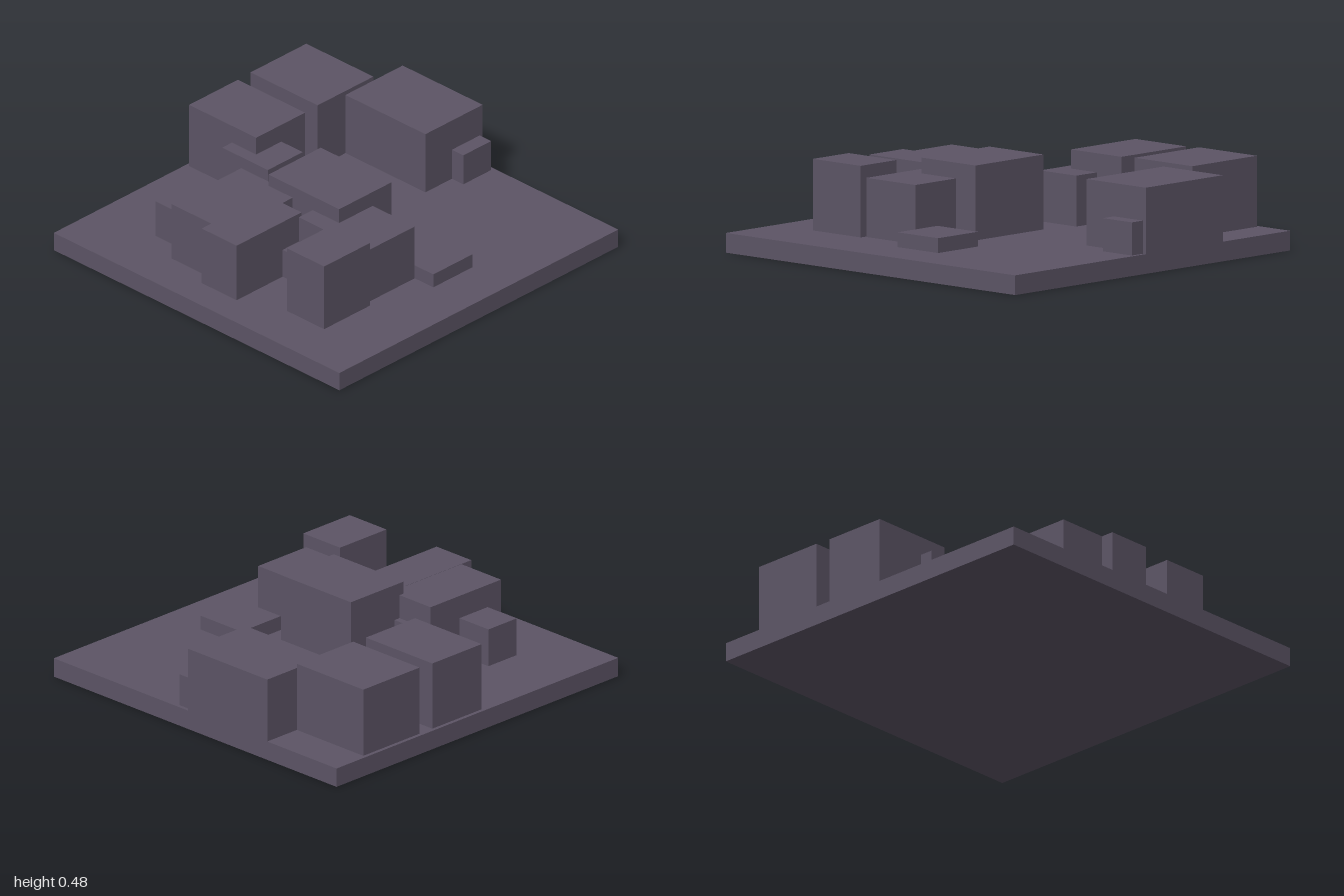
import * as THREE from 'three';

export function createModel() {
  const model = new THREE.Group();
  model.name = 'blockTerrain';
  const slate = new THREE.MeshStandardMaterial({ color: 0x5c5465 });
  slate.name = 'slate';

  // Box given by its extents on x and z, and its bottom and top heights
  function block(name, x0, x1, z0, z1, top, bottom = 0.1) {
    const mesh = new THREE.Mesh(new THREE.BoxGeometry(x1 - x0, top - bottom, z1 - z0), slate);
    mesh.position.set((x0 + x1) / 2, (top + bottom) / 2, (z0 + z1) / 2);
    mesh.name = name;
    model.add(mesh);
  }

  // Square ground slab
  block('base', -1, 1, -1, 1, 0.1, 0);

  // Back cluster
  block('backLeftBlock', -0.98, -0.51, -0.79, -0.39, 0.46);
  block('backBlock', -0.51, 0.05, -1, -0.59, 0.437);
  block('backSmallBlock', -0.08, 0.13, -0.98, -0.78, 0.268);

  // Left cluster
  block('leftTallBlock', -0.98, -0.51, -0.3, 0.05, 0.455);
  block('leftLowBlock', -0.68, -0.36, -0.13, 0.12, 0.358);

  // Centre cluster
  block('centreBlock', -0.18, 0.315, -0.075, 0.3, 0.48);
  block('centreLowBlock', -0.195, 0.24, 0.11, 0.51, 0.255);
  block('centreFillBlock', -0.3, -0.05, 0.235, 0.45, 0.29);

  // Right cluster
  block('rightBlock', 0.13, 0.61, 0.06, 0.4, 0.4);
  block('rightFlatBlock', 0.45, 0.74, -0.22, 0.06, 0.175);
  block('frontRightBlock', 0.38, 0.64, 0.41, 0.74, 0.463);

  // Front cluster
  block('frontBlock', -0.4, -0.01, 0.27, 0.77, 0.415);
  block('frontStepBlock', -0.12, 0.125, 0.375, 0.84, 0.416);
  block('frontSmallBlock', -0.615, -0.41, 0.465, 0.665, 0.3);

  return model;
}
